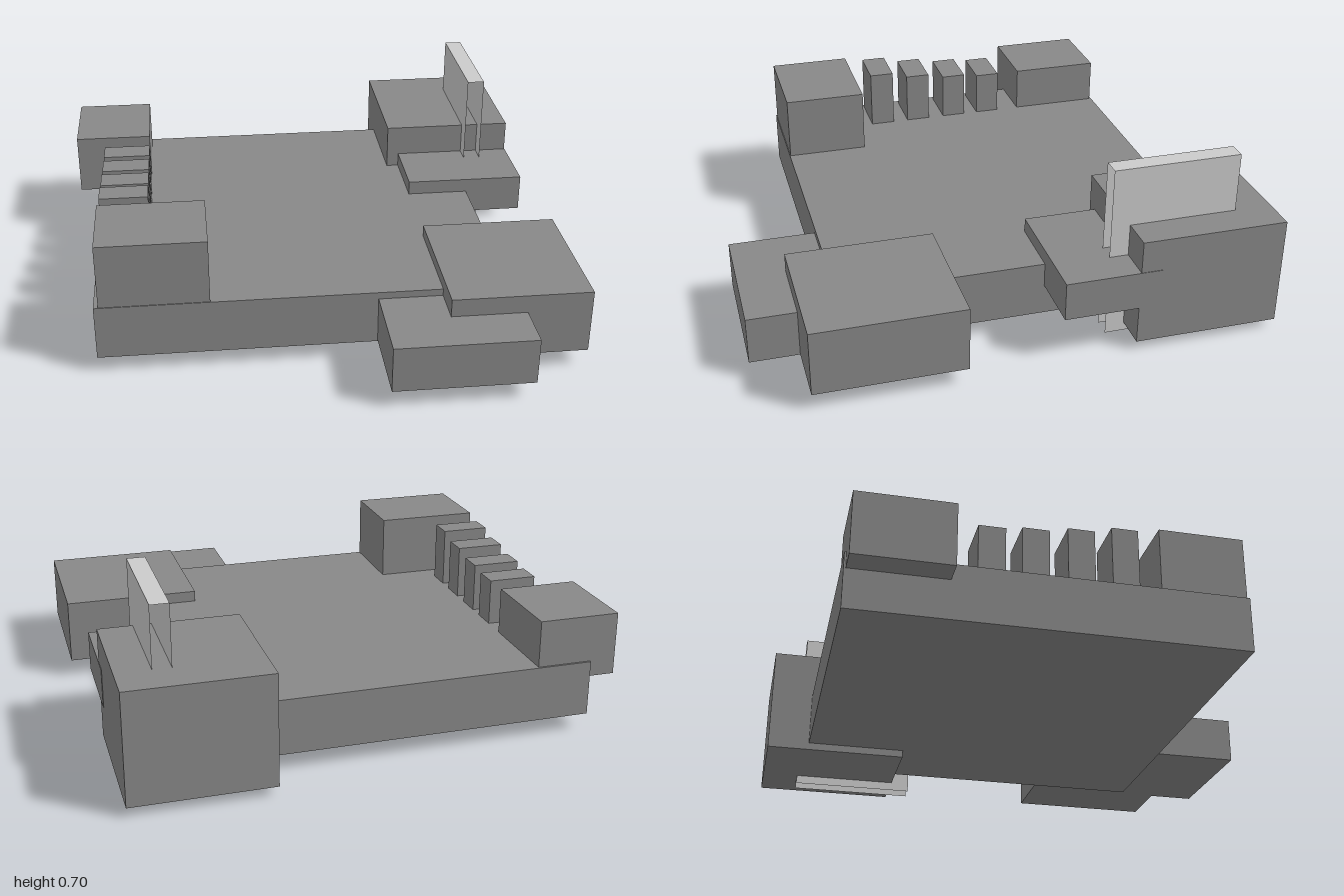
import * as THREE from 'three';

export function createModel() {
  const model = new THREE.Group();
  const dark = new THREE.MeshStandardMaterial({ color: 0x888888, flatShading: true });
  const light = new THREE.MeshStandardMaterial({ color: 0xcccccc, flatShading: true, side: THREE.DoubleSide });

  // Box given by its lowest and highest corner
  function block(name, [x0, y0, z0], [x1, y1, z1]) {
    const mesh = new THREE.Mesh(new THREE.BoxGeometry(x1 - x0, y1 - y0, z1 - z0), dark);
    mesh.position.set((x0 + x1) / 2, (y0 + y1) / 2, (z0 + z1) / 2);
    mesh.name = name;
    model.add(mesh);
  }

  // Base slab
  block('baseSlab', [-0.88, 0.065, -0.83], [0.7, 0.283, 0.66]);

  // Blocks on the right edge
  block('frontCornerBlock', [-0.862, 0.2, 0.325], [-0.445, 0.54, 0.657]);
  block('backCornerBlock', [-0.983, 0.22, -0.822], [-0.665, 0.468, -0.455]);

  // Row of upright slats, rising towards the front
  [[-0.358, 0.468], [-0.196, 0.48], [-0.025, 0.5], [0.142, 0.525]].forEach(([z, top], i) =>
    block(`slat${i + 1}`, [-0.858, 0.2, z], [-0.665, top, z + 0.102]));

  // Blocks on the left edge and front
  block('tallSideBlock', [0.398, 0.035, -1], [0.938, 0.468, -0.428]);
  block('sideLedge', [0.448, 0.187, -0.51], [0.94, 0.34, -0.137]);
  block('frontSideBlock', [0.44, 0.07, 0.235], [0.98, 0.327, 0.812]);
  block('frontStep', [0.192, 0.07, 0.45], [0.732, 0.255, 1]);

  // Upright fin: two thin walls and a top strip, open at the ends and below
  const fin = new THREE.Group();
  fin.name = 'fin';
  const [left, right, height, length] = [0.735, 0.805, 0.705, 0.5];
  for (const [x, turn, name] of [[left, -1, 'finInnerWall'], [right, 1, 'finOuterWall']]) {
    const wall = new THREE.Mesh(new THREE.PlaneGeometry(length, height), light);
    wall.rotation.y = turn * Math.PI / 2;
    wall.position.set(x, height / 2, 0);
    wall.name = name;
    fin.add(wall);
  }
  const top = new THREE.Mesh(new THREE.PlaneGeometry(right - left, length), light);
  top.rotation.x = -Math.PI / 2;
  top.position.set((left + right) / 2, height, 0);
  top.name = 'finTop';
  fin.add(top);
  fin.position.z = -0.603;
  model.add(fin);

  return model;
}
